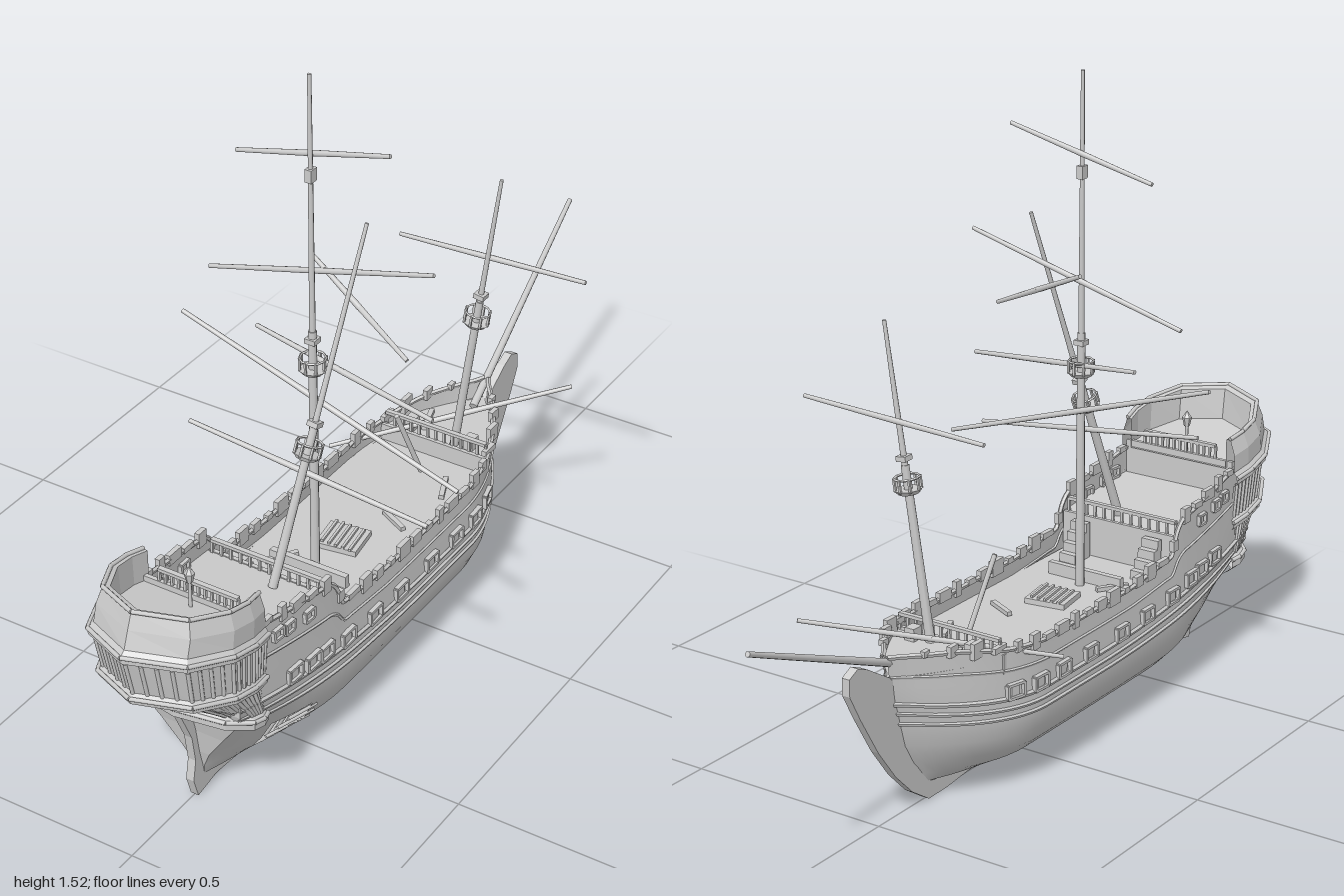
import * as THREE from 'three';

const mat = new THREE.MeshStandardMaterial({ color: 0xcccccc, side: THREE.DoubleSide });
const flat = new THREE.MeshStandardMaterial({ color: 0xcccccc, side: THREE.DoubleSide, flatShading: true });
const V = (x, y, z) => new THREE.Vector3(x, y, z);
const lerp = THREE.MathUtils.lerp;

// Sheer of the planking, and height of the bulwark rail along the ship
const sheer = z => 0.06 * Math.max(0, (z - 0.1) / 0.6) ** 2 + 0.04 * Math.max(0, (-0.1 - z) / 0.37) ** 2;
const railKeys = [[-0.47, 0.385], [-0.34, 0.375], [-0.22, 0.35], [-0.1, 0.338], [0.25, 0.34], [0.43, 0.36], [0.46, 0.435], [0.8, 0.5]];
function rail(z) {
  const i = Math.min(Math.max(railKeys.findIndex(k => k[0] >= z), 1), railKeys.length - 1);
  const [a, b] = [railKeys[i - 1], railKeys[i]];
  return lerp(a[1], b[1], (z - a[0]) / (b[0] - a[0]));
}

// Hull levels: height, share of sheer, bow z, stern z, greatest half width, stern half width
const levels = [
  [0.035, 0, -0.34, 0.74, 0.008, 0.008], [0.045, 0, -0.35, 0.745, 0.07, 0.01],
  [0.065, 0.1, -0.36, 0.75, 0.112, 0.015], [0.1, 0.2, -0.39, 0.76, 0.148, 0.035],
  [0.14, 0.5, -0.42, 0.77, 0.167, 0.08], [0.18, 0.8, -0.435, 0.785, 0.173, 0.125],
  [0.21, 1, -0.445, 0.8, 0.172, 0.147], [0.24, 1, -0.455, 0.8, 0.17, 0.149],
  [0.33, 1, -0.46, 0.8, 0.167, 0.148], [0.67, 1, -0.465, 0.8, 0.164, 0.146], [1, 1, -0.47, 0.8, 0.162, 0.144],
];
function levelPoint(s, z, i) {
  const [h, c, bow, stern, wMax, wStern] = levels[i];
  const y = i < 8 ? h + c * sheer(z) : lerp(0.24 + sheer(z), rail(z), h);
  const kb = Math.max(0, (-0.1 - z) / 0.37), ks = Math.max(0, (z - 0.4) / 0.4);
  const w = ks ? lerp(wMax, wStern, ks * ks) : Math.max(0.006, wMax * (1 - kb * kb));
  const zz = z < -0.1 ? lerp(-0.1, bow, kb) : z > 0.4 ? lerp(0.4, stern, ks) : z;
  return V(s * w, y, zz);
}
function hullPoint(s, z, l) {
  const i = Math.min(Math.floor(l), levels.length - 2);
  return levelPoint(s, z, i).lerp(levelPoint(s, z, i + 1), l - i);
}

// Surface through rows of points; skip(i, j) leaves a hole
function loft(rows, skip = () => false) {
  const n = rows[0].length, index = [];
  for (let i = 0; i < rows.length - 1; i++) for (let j = 0; j < n - 1; j++) {
    if (skip(i, j)) continue;
    const a = i * n + j, b = a + 1, c = a + n, d = c + 1;
    index.push(a, b, d, a, d, c);
  }
  const g = new THREE.BufferGeometry().setFromPoints(rows.flat());
  g.setIndex(index);
  g.computeVertexNormals();
  return g;
}

export function createModel() {
  const ship = new THREE.Group();
  ship.name = 'ship';
  const add = (name, geo, m = mat, parent = ship) => {
    const mesh = new THREE.Mesh(geo, m);
    mesh.name = name;
    parent.add(mesh);
    return mesh;
  };
  const box = (name, w, h, d, x, y, z, ry = 0, parent = ship) => {
    const b = add(name, new THREE.BoxGeometry(w, h, d), flat, parent);
    b.position.set(x, y, z);
    b.rotation.y = ry;
    return b;
  };
  const spar = (name, a, b, r0, r1 = r0, parent = ship) => {
    const dir = b.clone().sub(a);
    const m = add(name, new THREE.CylinderGeometry(r1, r0, dir.length(), 8), mat, parent);
    m.position.copy(a).add(b).multiplyScalar(0.5);
    m.quaternion.setFromUnitVectors(V(0, 1, 0), dir.normalize());
    return m;
  };

  // Hull sides, with a breach near the stern on the left side
  const zs = Array.from({ length: 52 }, (_, i) => lerp(-0.47, 0.8, i / 51));
  for (const s of [1, -1]) {
    const rows = zs.map(z => levels.map((_, i) => levelPoint(s, z, i)));
    add('hullSide', loft(s > 0 ? rows : rows.reverse(),
      (i, j) => s > 0 && zs[i] > 0.54 && zs[i] < 0.66 && (j === 3 || (j === 2 && zs[i] > 0.59))));
    // Wales and rail cap
    [[5.2, 0.005], [5.9, 0.005], [6.7, 0.006], [8.6, 0.004], [10, 0.006]].forEach(([l, r]) => {
      const path = new THREE.CatmullRomCurve3(zs.map(z => hullPoint(s, z, l)));
      add(l === 10 ? 'railCap' : 'wale', new THREE.TubeGeometry(path, 100, r, 5), flat);
    });
    // Gun ports
    const port = (z, l, w, h) => {
      const p = hullPoint(s, z, l), q = hullPoint(s, z + 0.02, l);
      const g = new THREE.Group();
      g.name = 'gunPort';
      g.position.copy(p);
      g.rotation.y = Math.atan2(q.x - p.x, q.z - p.z);
      ship.add(g);
      box('portLid', 0.008, h * 0.7, w * 0.5, 0, 0, 0, 0, g);
      for (const e of [-1, 1]) {
        box('portJamb', 0.018, h, 0.007, 0, 0, e * w / 2, 0, g);
        box('portSill', 0.018, 0.006, w, 0, e * h / 2, 0, 0, g);
      }
    };
    [0.62, 0.555, 0.505, 0.42, 0.31, 0.2, 0.07, -0.04, -0.13, -0.21].forEach(z => port(z, 7.25, 0.046, 0.032));
    [0.56, 0.63, 0.67].forEach(z => port(z, 9.3, 0.03, 0.024));
    // Broken bulwark stubs
    for (let i = 0; i < 22; i++) {
      const p = hullPoint(s, lerp(-0.4, 0.7, i / 21), 10);
      box('bulwarkStub', 0.012, 0.014 + 0.012 * ((i * 7) % 3), 0.02 + 0.008 * ((i * 5) % 4), p.x, p.y + 0.004, p.z);
    }
  }
  add('transom', loft([1, -1].map(s => levels.map((_, i) => levelPoint(s, 0.8, i)))), flat);

  // Exposed ribs and broken planks in the breach
  for (let i = 0; i < 5; i++) {
    const z = 0.55 + i * 0.03;
    spar('exposedRib', hullPoint(1, z, 2.4).add(V(-0.01, 0, 0)), hullPoint(1, z, 4.4).add(V(-0.01, 0, 0)), 0.004);
  }
  [2.8, 3.3, 3.7].forEach((l, i) => spar('brokenPlank', hullPoint(1, 0.53, l), hullPoint(1, 0.66 - i * 0.02, l), 0.004));

  // Keel, sternpost and beak as one flat timber with a worn lower edge
  const outline = [[0.82, 0.25], [0.785, 0.17], [0.775, 0.1], [0.785, 0.05], [0.77, 0]];
  for (let i = 1; i < 16; i++) outline.push([lerp(0.77, -0.33, i / 16), [0.004, 0.014, 0.008, 0.001][i % 4]]);
  outline.push([-0.33, 0], [-0.39, 0.04], [-0.45, 0.1], [-0.51, 0.18], [-0.57, 0.28], [-0.605, 0.345], [-0.605, 0.385],
    [-0.575, 0.4], [-0.54, 0.385], [-0.5, 0.36], [-0.45, 0.33], [-0.43, 0.22], [-0.33, 0.06], [0.72, 0.06], [0.74, 0.2]);
  const keel = new THREE.ExtrudeGeometry(new THREE.Shape(outline.map(p => new THREE.Vector2(...p))), { depth: 0.02, bevelEnabled: false });
  add('keelAndBeak', keel.translate(0, 0, -0.01).rotateY(-Math.PI / 2), flat);

  // Decks and the bulkheads between them
  const deck = (name, y, z0, z1, slope = 0) => add(name, loft(Array.from({ length: 13 }, (_, i) => {
    const z = lerp(z0, z1, i / 12), p = hullPoint(1, z, 9.4);
    return [-1, 1].map(s => V(s * p.x, y + slope * (z - z0), p.z));
  })), flat);
  deck('foredeck', 0.335, -0.47, -0.23);
  deck('mainDeck', 0.3, -0.23, 0.46);
  deck('quarterDeck', 0.395, 0.46, 0.76, 0.1);
  box('foreBulkhead', 0.29, 0.045, 0.01, 0, 0.32, -0.23);
  box('quarterBulkhead', 0.32, 0.1, 0.01, 0, 0.348, 0.46);
  box('poopBulkhead', 0.3, 0.11, 0.01, 0, 0.45, 0.725);
  const balustrade = (w, y, z) => {
    box('balustradeRail', w, 0.008, 0.012, 0, y + 0.035, z);
    for (let i = 0; i <= 12; i++) box('baluster', 0.006, 0.035, 0.006, lerp(-w / 2, w / 2, i / 12), y + 0.017, z);
  };
  balustrade(0.27, 0.34, -0.235);
  balustrade(0.3, 0.395, 0.465);
  balustrade(0.2, 0.5, 0.725);

  // Deck fittings
  box('hatchCoaming', 0.1, 0.016, 0.09, 0, 0.305, 0.17, 0.15);
  for (let i = 0; i < 5; i++) box('hatchGrating', 0.006, 0.006, 0.085, -0.036 + i * 0.018, 0.316, 0.17, 0.15);
  box('mastBitts', 0.2, 0.03, 0.015, 0, 0.315, 0.31);
  for (const s of [-1, 1]) {
    for (let i = 0; i < 4; i++) box('stairStep', 0.045, 0.022 * (i + 1), 0.016, s * 0.1, 0.3 + 0.011 * (i + 1), 0.39 + i * 0.016);
    box('foreBitt', 0.025, 0.03, 0.03, s * 0.08, 0.35, -0.26);
  }
  [[-0.06, -0.3, 0.3], [0.09, -0.12, 0.4], [0.06, 0.05, 1.1], [-0.08, 0.3, -0.6]].forEach(([x, z, r]) =>
    box('loosePlank', 0.012, 0.01, 0.08, x, z < -0.23 ? 0.342 : 0.307, z, r));

  // Stern gallery: tilted angular rings of aft height, aft z, half width
  const plan = [[0.95, 0], [1, 0.2], [0.97, 0.45], [0.7, 0.8], [0, 1], [-0.7, 0.8], [-0.97, 0.45], [-1, 0.2], [-0.95, 0]];
  const ring = ([y, zA, w]) => plan.map(([fx, fz]) => {
    const z = lerp(0.715, zA, fz);
    return V(fx * w, y - 0.2 * (zA - z), z);
  });
  const rings = [[0.23, 0.79, 0.14], [0.26, 0.835, 0.168], [0.28, 0.835, 0.168], [0.287, 0.82, 0.156], [0.375, 0.935, 0.156],
    [0.39, 0.975, 0.17], [0.405, 0.978, 0.17], [0.412, 0.965, 0.16], [0.5, 0.985, 0.166], [0.51, 1, 0.177], [0.525, 1, 0.177],
    [0.535, 0.985, 0.167], [0.575, 0.97, 0.167], [0.612, 0.955, 0.153], [0.605, 0.935, 0.142], [0.53, 0.925, 0.142], [0.53, 0.925, 0]].map(ring);
  add('sternGallery', loft(rings), flat);
  // Window mullions around both gallery storeys
  for (const [a, b] of [[3, 4], [7, 8]]) for (let j = 0; j < 8; j++) for (let k = 0; k < 4; k++) {
    const at = r => rings[r][j].clone().lerp(rings[r][j + 1], k / 4);
    spar('galleryMullion', at(a), at(b), 0.0045, 0.0045);
  }
  // Mouldings along the gallery ledges and taffrail
  for (const r of [2, 6, 10, 13]) for (let j = 0; j < 8; j++) spar('galleryMoulding', rings[r][j], rings[r][j + 1], 0.005);
  // Stern lantern
  spar('lanternPost', V(0, 0.49, 0.755), V(0, 0.57, 0.755), 0.004);
  add('sternLantern', new THREE.CylinderGeometry(0.012, 0.007, 0.022, 6), flat).position.set(0, 0.57, 0.755);
  add('lanternCap', new THREE.ConeGeometry(0.012, 0.018, 6), flat).position.set(0, 0.59, 0.755);

  // Masts: foot, head, radius, distance of the top platform along the mast
  const masts = [
    ['mainMast', V(0, 0.3, 0.285), V(0, 1.52, 0.28), 0.011, 0.425],
    ['foreMast', V(0.04, 0.33, -0.25), V(0.14, 1.06, -0.27), 0.011, 0.48],
    ['mizzenMast', V(0.035, 0.4, 0.505), V(0.11, 1.19, 0.24), 0.011, 0.37],
  ];
  for (const [name, a, b, r, t] of masts) {
    const head = a.clone().lerp(b, t + 0.08);
    spar(name, a, head, r, r * 0.85);
    spar(name + 'Upper', a.clone().lerp(b, t - 0.03), b, r * 0.7, r * 0.4);
    const top = new THREE.Group();
    top.name = name + 'Top';
    top.position.copy(a).lerp(b, t);
    top.quaternion.setFromUnitVectors(V(0, 1, 0), b.clone().sub(a).normalize());
    ship.add(top);
    add('topPlatform', new THREE.CylinderGeometry(0.032, 0.024, 0.01, 10), flat, top);
    for (let i = 0; i < 8; i++) {
      const g = i * Math.PI / 4;
      box('topPost', 0.005, 0.03, 0.005, 0.029 * Math.cos(g), 0.017, 0.029 * Math.sin(g), 0, top);
    }
    add('topRail', new THREE.TorusGeometry(0.029, 0.003, 4, 10).rotateX(Math.PI / 2).translate(0, 0.031, 0), flat, top);
    box('mastCap', 0.026, 0.012, 0.026, 0, 0.075, 0, 0, top);
  }
  box('upperMastCap', 0.016, 0.03, 0.022, 0, 1.29, 0.28);
  spar('bowsprit', V(0.005, 0.345, -0.4), V(-0.07, 0.6, -1), 0.01, 0.006);
  spar('brokenSpar', V(0.02, 0.32, -0.135), V(-0.01, 0.495, -0.075), 0.006);

  // Yards, hanging askew
  [
    [-0.19, 1.29, 0.27, 0.185, 1.38, 0.27], [-0.28, 0.975, 0.255, 0.28, 1.125, 0.255],
    [-0.35, 0.845, 0.265, 0.35, 0.62, 0.265], [-0.165, 0.86, 0.25, 0.31, 0.81, 0.305],
    [-0.03, 1.065, 0.23, 0.25, 0.94, 0.31], [-0.24, 0.675, 0.405, 0.35, 0.607, 0.39],
    [-0.13, 0.835, -0.285, 0.35, 0.855, -0.285], [-0.22, 0.315, -0.115, 0.22, 0.425, -0.49],
  ].forEach(([a, b, c, d, e, f]) => {
    const p = V(a, b, c), q = V(d, e, f), m = p.clone().lerp(q, 0.5);
    spar('yard', m, p, 0.007, 0.005);
    spar('yard', m, q, 0.007, 0.005);
  });
  return ship;
}
